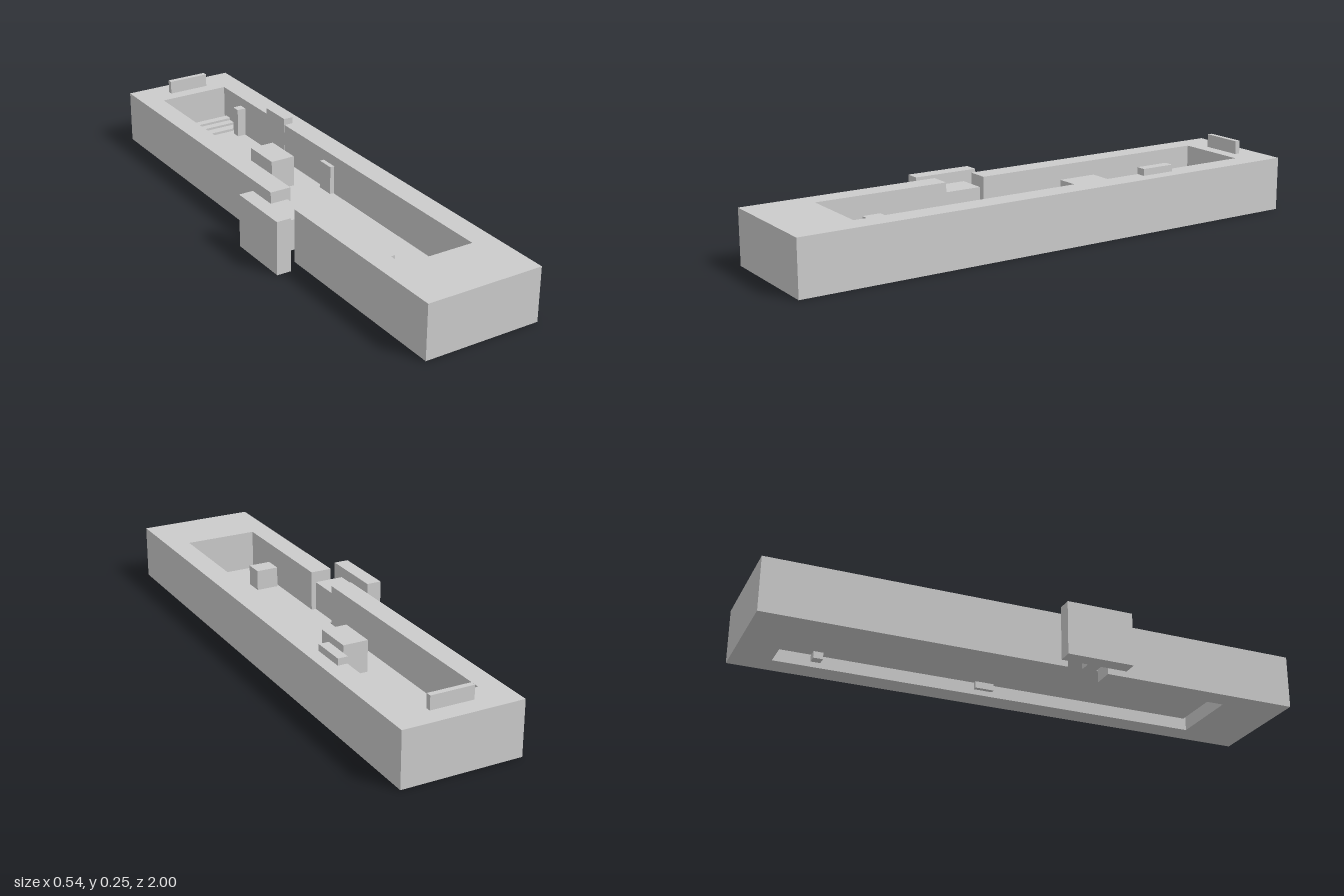
import * as THREE from 'three';

const material = new THREE.MeshStandardMaterial({ color: 0xcccccc, flatShading: true });

export function createModel() {
  const model = new THREE.Group();

  // Box given by its limits on each axis
  function block(name, [x0, x1], [y0, y1], [z0, z1]) {
    const mesh = new THREE.Mesh(new THREE.BoxGeometry(x1 - x0, y1 - y0, z1 - z0), material);
    mesh.position.set((x0 + x1) / 2, (y0 + y1) / 2, (z0 + z1) / 2);
    mesh.name = name;
    model.add(mesh);
  }

  // Surrounding wall: one outline running in through the side opening and around the basin
  const outline = [
    [-0.17, -1], [0.27, -1], [0.27, 1], [-0.17, 1], [-0.17, 0.25], [-0.09, 0.25],
    [-0.09, 0.76], [0.185, 0.76], [0.185, -0.86], [-0.09, -0.86], [-0.09, 0.095], [-0.17, 0.095],
  ];
  // Shape y becomes -z once the extrusion is laid flat
  const shape = new THREE.Shape(outline.map(([x, z]) => new THREE.Vector2(x, -z)));
  const wallGeometry = new THREE.ExtrudeGeometry(shape, { depth: 0.2, bevelEnabled: false });
  wallGeometry.rotateX(-Math.PI / 2);
  const wall = new THREE.Mesh(wallGeometry, material);
  wall.name = 'surroundingWall';
  model.add(wall);

  // Basin floor and its strip through the opening
  block('floor', [-0.088, 0.183], [0.045, 0.052], [-0.845, 0.75]);
  block('openingFloor', [-0.215, -0.088], [0.045, 0.052], [0.107, 0.245]);

  // Steps at the back end, rising towards the back
  const stepEdges = [-0.845, -0.815, -0.785, -0.75];
  for (let i = 0; i < 3; i++) {
    block('step', [-0.09, 0.185], [0.05, 0.08 - i * 0.009], [stepEdges[i], stepEdges[i + 1]]);
  }

  // Side gate with its link into the opening
  block('gate', [-0.27, -0.215], [0, 0.2], [0.05, 0.3]);
  block('gateLink', [-0.215, -0.105], [0.052, 0.16], [0.1, 0.245]);
  block('gateSupport', [-0.215, -0.17], [0, 0.045], [0.15, 0.18]);

  // Blocks standing in the basin
  block('middleBlock', [0, 0.095], [0.05, 0.17], [-0.33, -0.18]);
  block('frontBlock', [-0.08, 0.005], [0.05, 0.13], [0.52, 0.59]);

  // Fittings along the left wall
  block('wallPanel', [0.168, 0.187], [0.02, 0.16], [-0.115, -0.045]);
  block('cornerFitting', [0.15, 0.186], [0.02, 0.165], [-0.725, -0.69]);
  block('wallBench', [0.183, 0.22], [0.05, 0.225], [-0.52, -0.39]);

  // Upright board on the back rim
  block('backBoard', [-0.03, 0.13], [0.2, 0.25], [-0.93, -0.91]);

  return model;
}
